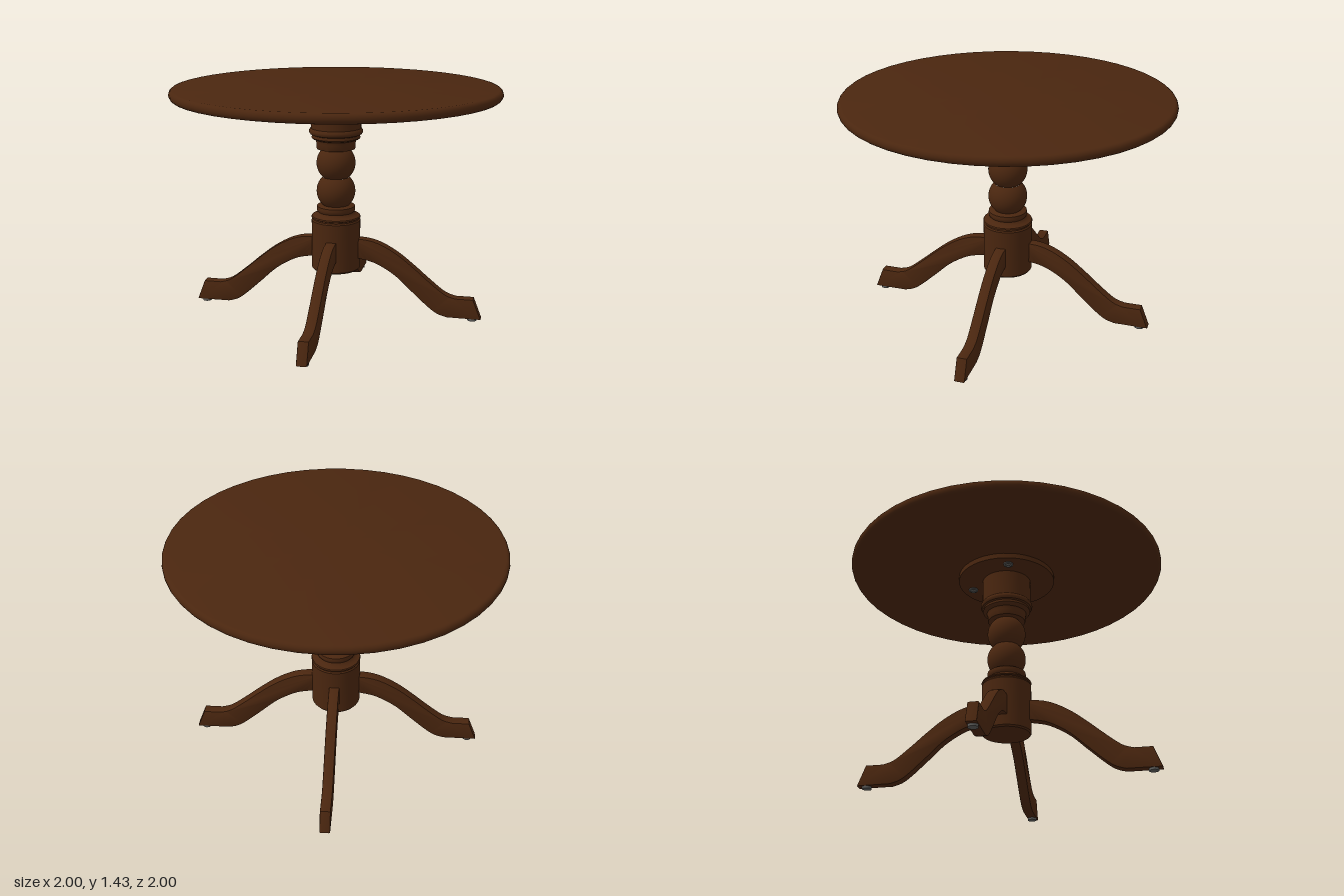
import * as THREE from 'three';
import { toCreasedNormals } from 'three/addons/utils/BufferGeometryUtils.js';

const wood = new THREE.MeshStandardMaterial({ color: 0x4a260f });
wood.name = 'dark brown wood';
const metal = new THREE.MeshStandardMaterial({ color: 0x5c5c5a });
metal.name = 'grey metal';

const v2 = (x, y) => new THREE.Vector2(x, y);

function mesh(name, geometry, material = wood) {
  const m = new THREE.Mesh(geometry, material);
  m.name = name;
  return m;
}

// Turned part from a profile of [radius, height], listed bottom to top
function turned(name, profile, segments = 48, material = wood) {
  const geo = new THREE.LatheGeometry(profile.map(([r, y]) => v2(r, y)), segments);
  return mesh(name, toCreasedNormals(geo, 0.6), material);
}

// Profile points of a round ball cut off at both ends
function ball(radius, centre, halfHeight) {
  const a = Math.asin(halfHeight / radius), points = [];
  for (let i = 0; i <= 14; i++) {
    const t = -a + (2 * a * i) / 14;
    points.push([radius * Math.cos(t), centre + radius * Math.sin(t)]);
  }
  return points;
}

// Side outline of a curved leg: x runs outward, y up
function legGeometry() {
  const s = new THREE.Shape();
  s.moveTo(0.1, 0.365);
  s.lineTo(0.16, 0.36);
  s.splineThru([v2(0.26, 0.335), v2(0.38, 0.265), v2(0.49, 0.165), v2(0.59, 0.075), v2(0.65, 0.033), v2(0.71, 0.014)]);
  s.lineTo(0.92, 0.014);
  s.lineTo(0.87, 0.142);
  s.lineTo(0.76, 0.142);
  s.splineThru([v2(0.69, 0.167), v2(0.59, 0.245), v2(0.5, 0.322), v2(0.4, 0.4), v2(0.3, 0.457), v2(0.21, 0.485), v2(0.1, 0.492)]);
  s.closePath();
  const width = 0.064, bevel = 0.006;
  const geo = new THREE.ExtrudeGeometry(s, {
    depth: width - 2 * bevel, curveSegments: 28,
    bevelEnabled: true, bevelThickness: bevel, bevelSize: bevel, bevelOffset: -bevel, bevelSegments: 2,
  });
  geo.translate(0, 0, bevel - width / 2);
  return toCreasedNormals(geo, 0.6);
}

export function createModel() {
  const table = new THREE.Group();
  table.name = 'pedestalTable';

  // Round top with a softened rim
  const rim = [];
  for (let i = 0; i <= 8; i++) {
    const t = -Math.PI / 2 + (Math.PI * i) / 8;
    rim.push([0.975 + 0.025 * Math.cos(t), 1.406 + 0.029 * Math.sin(t)]);
  }
  table.add(turned('tableTop', [[0, 1.377], ...rim, [0, 1.435]]));

  // Mounting plate under the top
  table.add(turned('mountingPlate', [[0, 1.344], [0.308, 1.344], [0.308, 1.378], [0, 1.378]]));

  // Turned column
  table.add(turned('columnBase', [
    [0, 0.286], [0.144, 0.286], [0.152, 0.296], [0.152, 0.602], [0.145, 0.61],
    [0.145, 0.618], [0.154, 0.622], [0.15, 0.63], [0.125, 0.638], [0.115, 0.65],
    [0.112, 0.655], [0.118, 0.662], [0.12, 0.677], [0.118, 0.692], [0.11, 0.697], [0, 0.697],
  ]));
  table.add(turned('lowerBall', ball(0.12, 0.787, 0.088)));
  table.add(turned('upperBall', ball(0.12, 0.964, 0.089)));
  table.add(turned('columnCapital', [
    [0, 1.054], [0.117, 1.054], [0.12, 1.06], [0.12, 1.09], [0.125, 1.11],
    [0.145, 1.118], [0.15, 1.125], [0.146, 1.134], [0.146, 1.142], [0.158, 1.147],
    [0.165, 1.158], [0.165, 1.168], [0.158, 1.179], [0.154, 1.183], [0.154, 1.346], [0, 1.346],
  ]));

  // Four legs with foot glides
  const legGeo = legGeometry();
  const glideGeo = new THREE.CylinderGeometry(0.029, 0.029, 0.016, 20);
  for (let i = 0; i < 4; i++) {
    const leg = new THREE.Group();
    leg.name = 'leg' + (i + 1);
    leg.add(mesh('curvedLeg', legGeo));
    const glide = mesh('footGlide', glideGeo, metal);
    glide.position.set(0.865, 0.008, 0);
    leg.add(glide);
    leg.rotation.y = THREE.MathUtils.degToRad(37 - 90 + i * 90);
    table.add(leg);
  }

  // Screw heads below the plate
  [43, 116, 231].forEach((angle, i) => {
    const screw = turned('plateScrew' + (i + 1),
      [[0, 1.324], [0.014, 1.326], [0.02, 1.334], [0.03, 1.336], [0.03, 1.346], [0, 1.346]], 16, metal);
    const a = THREE.MathUtils.degToRad(angle);
    screw.position.set(0.235 * Math.sin(a), 0, 0.235 * Math.cos(a));
    table.add(screw);
  });

  return table;
}
